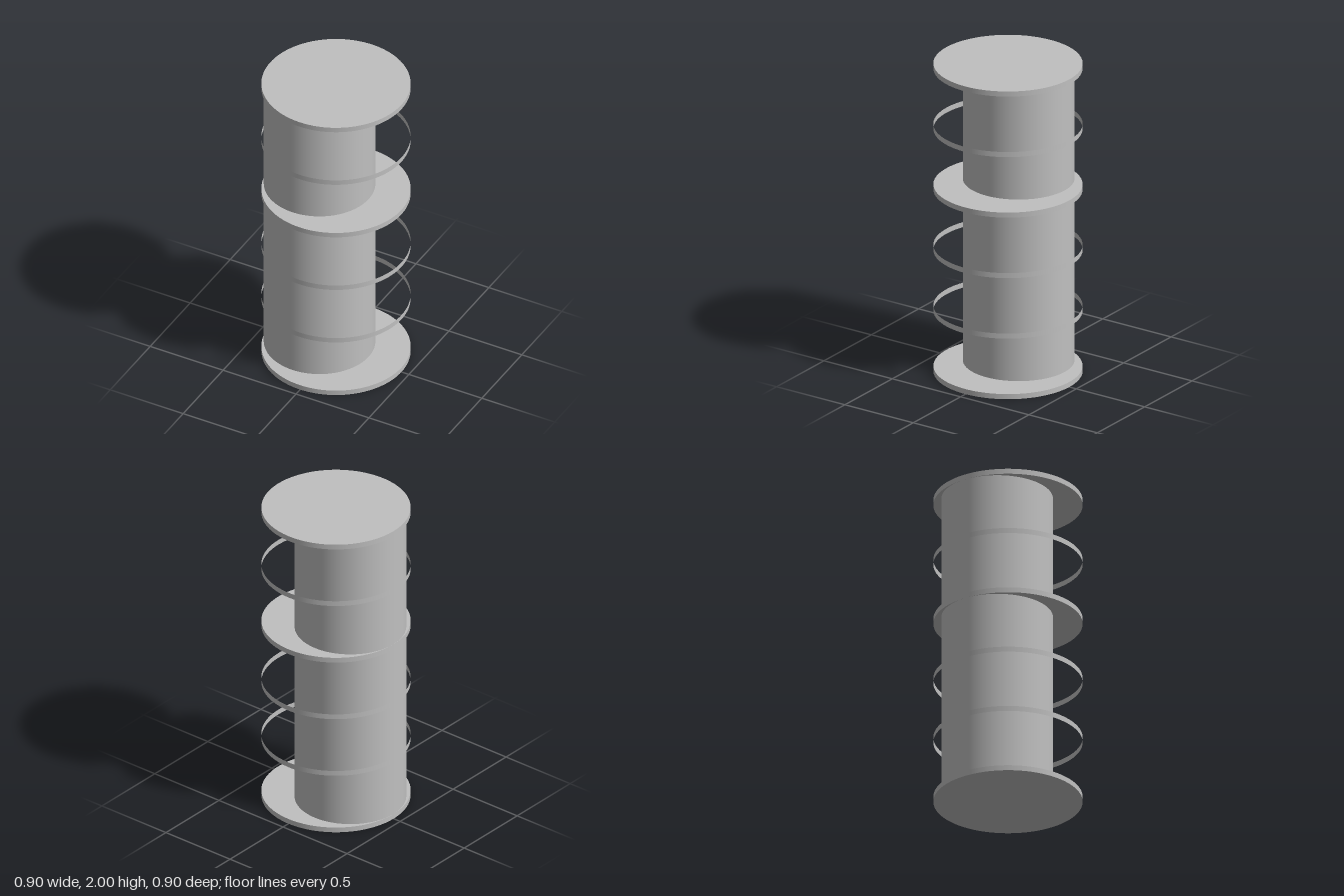
import * as THREE from 'three';

const RADIUS = 0.449, THICK = 0.033, LEVELS = 6;
const STEP = (2 - THICK) / (LEVELS - 1);
const CORE_RADIUS = 0.336, CORE_X = CORE_RADIUS - RADIUS + 0.0005;
const SOLID_LEVELS = [0, 3, 5];

export function createModel() {
  const model = new THREE.Group();
  model.name = 'tieredColumn';

  const grey = new THREE.MeshStandardMaterial({ color: 0xc0c0c0 });
  grey.name = 'grey';
  grey.side = THREE.DoubleSide;

  const add = (name, geometry, x, y) => {
    const mesh = new THREE.Mesh(geometry, grey);
    mesh.name = name;
    mesh.position.set(x, y, 0);
    model.add(mesh);
  };

  // Evenly spaced tiers: solid plates or thin open bands
  for (let i = 0; i < LEVELS; i++) {
    const solid = SOLID_LEVELS.includes(i);
    add(solid ? 'plate' : 'openBand',
      new THREE.CylinderGeometry(RADIUS, RADIUS, THICK, 128, 1, !solid),
      0, i * STEP + THICK / 2);
  }

  // Off-centre core, running between the solid plates
  for (let i = 0; i < SOLID_LEVELS.length - 1; i++) {
    const bottom = SOLID_LEVELS[i] * STEP + THICK;
    const top = SOLID_LEVELS[i + 1] * STEP;
    add('core',
      new THREE.CylinderGeometry(CORE_RADIUS, CORE_RADIUS, top - bottom, 128, 1, true),
      CORE_X, (bottom + top) / 2);
  }

  return model;
}
